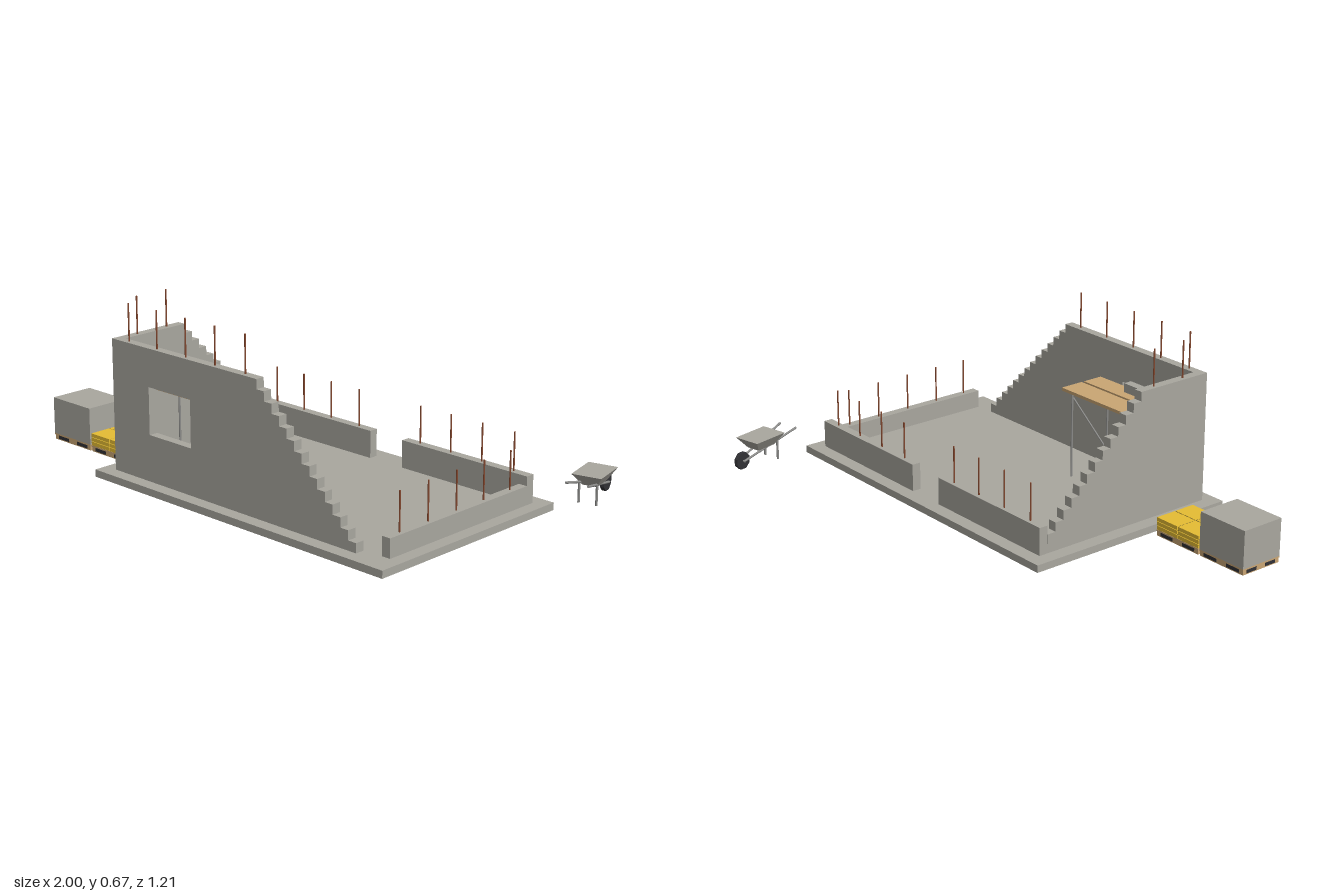
import * as THREE from 'three';

const mat = (name, color) => {
  const m = new THREE.MeshStandardMaterial({ color });
  m.name = name;
  return m;
};

export function createModel() {
  const concrete = mat('concrete', 0xa9a79f);
  const wood = mat('wood', 0xcaa674);
  const yellow = mat('cementBags', 0xe6bd34);
  const rust = mat('rustySteel', 0x84482f);
  const steel = mat('steel', 0x8c8c8a);
  const dark = mat('darkRubber', 0x323236);

  const model = new THREE.Group();
  model.name = 'buildingSite';

  const add = (parent, name, geo, material) => {
    const m = new THREE.Mesh(geo, material);
    m.name = name;
    parent.add(m);
    return m;
  };
  // box given by its min and max on each axis
  const box = (parent, name, material, x0, x1, y0, y1, z0, z1) => {
    const m = add(parent, name, new THREE.BoxGeometry(x1 - x0, y1 - y0, z1 - z0), material);
    m.position.set((x0 + x1) / 2, (y0 + y1) / 2, (z0 + z1) / 2);
    return m;
  };
  // round bar between two points
  const bar = (parent, name, material, a, b, r) => {
    const p = new THREE.Vector3(...a), q = new THREE.Vector3(...b);
    const d = q.clone().sub(p);
    const m = add(parent, name, new THREE.CylinderGeometry(r, r, d.length(), 14), material);
    m.position.copy(p).add(q).multiplyScalar(0.5);
    m.quaternion.setFromUnitVectors(new THREE.Vector3(0, 1, 0), d.normalize());
    return m;
  };

  // ground slab
  box(model, 'slab', concrete, -0.54, 0.885, 0, 0.028, -0.282, 0.608);

  // tall unfinished walls with stepped block courses
  const BASE = 0.028, TOP = 0.527, ROWS = 14, H = (TOP - BASE) / ROWS, T = 0.035;
  const steppedWall = (start, topEnd, step, limit, hole) => {
    const s = new THREE.Shape();
    s.moveTo(start, BASE);
    s.lineTo(start, TOP);
    for (let k = 0; k < ROWS; k++) {
      const end = Math.min(topEnd + step * k, limit);
      s.lineTo(end, TOP - H * k);
      s.lineTo(end, TOP - H * (k + 1));
    }
    s.closePath();
    if (hole) {
      const [x0, x1, y0, y1] = hole;
      const h = new THREE.Path();
      h.moveTo(x0, y0);
      h.lineTo(x1, y0);
      h.lineTo(x1, y1);
      h.lineTo(x0, y1);
      h.closePath();
      s.holes.push(h);
    }
    return new THREE.ExtrudeGeometry(s, { depth: T, bevelEnabled: false });
  };
  const front = steppedWall(-0.485, 0.26, 0.0355, 1, [-0.291, -0.073, 0.205, 0.384]);
  add(model, 'frontWall', front, concrete).position.z = 0.521;
  const side = steppedWall(-0.521, -0.236, 0.0355, 0.192).rotateY(Math.PI / 2);
  add(model, 'rightWall', side, concrete).position.x = -0.485;

  // low walls with a doorway gap at the back
  box(model, 'backWallA', concrete, -0.485, 0.094, BASE, 0.134, -0.227, -0.192);
  box(model, 'backWallB', concrete, 0.252, 0.834, BASE, 0.134, -0.227, -0.192);
  box(model, 'leftWall', concrete, 0.799, 0.834, BASE, 0.099, -0.192, 0.515);

  // reinforcing bars standing out of the wall tops
  const rebar = (x, z, y0, y1) => bar(model, 'rebar', rust, [x, y0 - 0.02, z], [x, y1, z], 0.003);
  for (const x of [-0.41, -0.26, -0.11, 0.04, 0.19]) rebar(x, 0.539, TOP, 0.668);
  for (const z of [0.45, 0.309]) rebar(-0.468, z, TOP, 0.668);
  for (const z of [0.45, 0.309, 0.165, 0.022, -0.12]) rebar(0.816, z, 0.1, 0.243);
  for (const x of [-0.415, -0.27, -0.125, 0.02, 0.325, 0.47, 0.615, 0.76]) rebar(x, -0.21, 0.134, 0.277);

  // scaffold: two frames, braces and two planks
  const scaffold = new THREE.Group();
  scaffold.name = 'scaffold';
  model.add(scaffold);
  for (const x of [-0.382, -0.008]) {
    for (const z of [0.329, 0.507]) bar(scaffold, 'scaffoldLeg', steel, [x, BASE, z], [x, 0.363, z], 0.004);
    bar(scaffold, 'scaffoldRail', steel, [x, 0.359, 0.329], [x, 0.359, 0.507], 0.004);
    bar(scaffold, 'scaffoldBrace', steel, [x, 0.343, 0.335], [-0.195, 0.198, 0.335], 0.003);
  }
  box(scaffold, 'plankBack', wood, -0.42, 0.04, 0.363, 0.375, 0.318, 0.416);
  box(scaffold, 'plankFront', wood, -0.42, 0.04, 0.363, 0.375, 0.428, 0.512);
  for (const x of [-0.29, -0.215])
    box(scaffold, 'block', concrete, x, x + 0.073, 0.375, 0.41, 0.467, 0.501);

  // pallets: recessed core with dark fork openings under an overhanging deck
  const pallet = (cx, cz) => {
    const g = new THREE.Group();
    g.name = 'pallet';
    g.position.set(cx, 0, cz);
    model.add(g);
    const w = 0.107, d = 0.089, inW = w - 0.002, inD = d - 0.002;
    box(g, 'palletBase', wood, -inW, inW, 0, 0.018, -inD, inD);
    box(g, 'palletDeck', wood, -w, w, 0.018, 0.024, -d, d);
    for (const s of [-1, 1]) {
      for (const t of [-1, 1]) {
        box(g, 'forkOpening', dark, t * 0.055 - 0.031, t * 0.055 + 0.031, 0.004, 0.018,
          s * inD - 0.001, s * inD + 0.001);
        box(g, 'forkOpening', dark, s * inW - 0.001, s * inW + 0.001, 0.004, 0.018,
          t * 0.045 - 0.024, t * 0.045 + 0.024);
      }
    }
    return g;
  };
  const blockPallet = pallet(-0.893, 0.339);
  box(blockPallet, 'blockStack', concrete, -0.107, 0.107, 0.024, 0.168, -0.089, 0.089);
  const bagPallet = pallet(-0.673, 0.339);
  // dark core showing in the joints between the bags
  box(bagPallet, 'bagJoints', dark, -0.102, 0.102, 0.024, 0.069, -0.084, 0.084);
  for (let layer = 0; layer < 3; layer++)
    for (const sx of [-1, 1])
      for (const sz of [-1, 1]) {
        const y = 0.024 + layer * 0.0163;
        const bag = box(bagPallet, 'cementBag', yellow, -0.052, 0.052, y, y + 0.0143, -0.043, 0.043);
        bag.position.x = sx * 0.054;
        bag.position.z = sz * 0.045;
      }

  // wheelbarrow, wheel towards -z before turning
  const barrow = new THREE.Group();
  barrow.name = 'wheelbarrow';
  barrow.position.set(0.919, 0, -0.47);
  barrow.rotation.y = 0.235;
  model.add(barrow);
  const tray = new THREE.BoxGeometry(0.114, 0.045, 0.153).toNonIndexed();
  const p = tray.attributes.position;
  for (let i = 0; i < p.count; i++)
    if (p.getY(i) < 0) p.setXYZ(i, p.getX(i) * 0.5, p.getY(i), p.getZ(i) * 0.56);
  tray.computeVertexNormals();
  add(barrow, 'tray', tray, concrete).position.y = 0.086;
  const wheel = new THREE.CylinderGeometry(0.035, 0.035, 0.016, 8).toNonIndexed();
  wheel.rotateY(Math.PI / 8).rotateZ(Math.PI / 2);
  wheel.computeVertexNormals();
  add(barrow, 'wheel', wheel, dark).position.set(0, 0.036, -0.106);
  bar(barrow, 'axle', steel, [-0.016, 0.036, -0.106], [0.016, 0.036, -0.106], 0.004);
  for (const s of [-1, 1]) {
    bar(barrow, 'handle', steel, [s * 0.013, 0.036, -0.106], [s * 0.042, 0.102, 0.155], 0.0045);
    bar(barrow, 'leg', steel, [s * 0.034, 0, 0.056], [s * 0.034, 0.08, 0.056], 0.0045);
  }
  return model;
}
